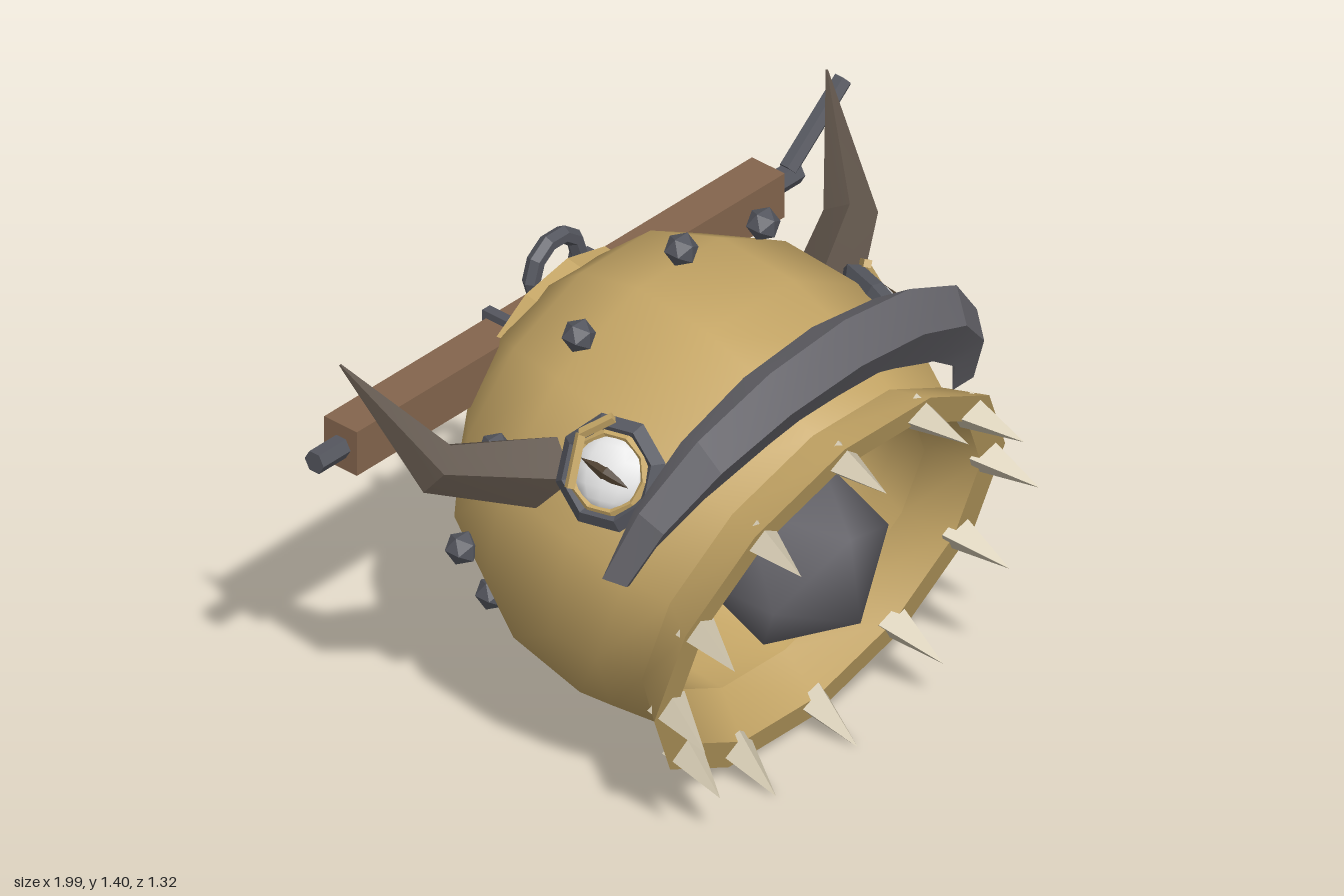
import * as THREE from 'three';
import { mergeVertices, toCreasedNormals } from 'three/addons/utils/BufferGeometryUtils.js';

const V = (x, y, z) => new THREE.Vector3(x, y, z);
const UP = V(0, 1, 0);

const mat = (name, color, side = THREE.FrontSide) => {
  const m = new THREE.MeshStandardMaterial({ color, side });
  m.name = name;
  return m;
};

// polygon ring of n points around a centre, facing dir
function ring(centre, dir, radius, n, offset = 0) {
  const d = dir.clone().normalize();
  const e1 = UP.clone().addScaledVector(d, -d.y).normalize();
  const e2 = e1.clone().cross(d);
  return Array.from({ length: n }, (_, i) => {
    const a = offset + (i / n) * Math.PI * 2;
    return centre.clone().addScaledVector(e1, radius * Math.cos(a)).addScaledVector(e2, radius * Math.sin(a));
  });
}

// skin through a list of rings
function loft(rings, crease) {
  const n = rings[0].length, index = [];
  for (let i = 0; i < rings.length - 1; i++) {
    for (let j = 0; j < n; j++) {
      const k = (j + 1) % n;
      const a = i * n + j, b = i * n + k, c = (i + 1) * n + k, d = (i + 1) * n + j;
      index.push(a, d, c, a, c, b);
    }
  }
  const g = new THREE.BufferGeometry().setFromPoints(rings.flat());
  g.setIndex(index);
  return toCreasedNormals(g, crease);
}

const flat = (g) => toCreasedNormals(g, 0.3);

export function createModel() {
  const gold = mat('gold shell', 0xc4a565);
  const iron = mat('iron', 0x68676d);
  const steel = mat('dark steel', 0x54565e);
  const wood = mat('wood', 0x84654d);
  const hornMat = mat('horn brown', 0x5c5147);
  const bone = mat('bone', 0xcfc5ad);
  const white = mat('eye white', 0xe4e4e4);
  const slit = mat('pupil brown', 0x4a3c2c);

  const root = new THREE.Group();
  root.name = 'hornedShell';
  const body = new THREE.Group();
  body.name = 'body';
  body.position.x = -0.085;
  root.add(body);

  const add = (parent, name, geo, material, pos) => {
    const m = new THREE.Mesh(geo, material);
    m.name = name;
    if (pos) m.position.copy(pos);
    parent.add(m);
    return m;
  };
  // straight rod between two points
  const rod = (parent, name, a, b, r, sides, material) => {
    const d = b.clone().sub(a);
    const m = add(parent, name, flat(new THREE.CylinderGeometry(r, r, d.length(), sides)), material,
      a.clone().add(b).multiplyScalar(0.5));
    m.quaternion.setFromUnitVectors(UP, d.normalize());
    return m;
  };

  // shell: rounded back, narrow neck, flared mouth rim, hollow inside
  const backDir = V(0, -0.174, 0.985), mouthDir = V(0, -0.33, 0.944);
  const backAt = (s) => V(0, 0.71, -0.06).addScaledVector(backDir, s);
  const mouthAt = (s) => V(0, 0.585, 0.35).addScaledVector(mouthDir, s);
  const half = Math.PI / 12;
  const back = [[-0.565, 0.001], [-0.53, 0.34], [-0.4, 0.5], [-0.2, 0.6], [0.04, 0.617]];
  const mouth = [[-0.23, 0.592], [-0.11, 0.55], [0, 0.615], [0, 0.53], [-0.12, 0.45], [-0.22, 0.47],
    [-0.5, 0.49], [-0.75, 0.4], [-0.88, 0.2], [-0.92, 0.001]];
  add(body, 'shell', loft([
    ...back.map(([s, r]) => ring(backAt(s), backDir, r, 12, half)),
    ...mouth.map(([s, r]) => ring(mouthAt(s), mouthDir, r, 12, half)),
  ], 0.75), gold);

  // round plate on the back
  const plate = add(body, 'backPlate', flat(new THREE.CylinderGeometry(0.295, 0.295, 0.06, 12)), gold,
    V(0, 0.868, -0.555));
  plate.quaternion.setFromUnitVectors(UP, backDir);

  // ball inside the mouth
  const ico = new THREE.IcosahedronGeometry(0.255, 0);
  ico.deleteAttribute('normal');
  ico.deleteAttribute('uv');
  const ballGeo = mergeVertices(ico);
  ballGeo.computeVertexNormals();
  add(body, 'mouthBall', ballGeo, iron, V(0, 0.625, 0.22)).rotation.z = 0.14;

  // teeth on the rim corners
  const toothGeo = flat(new THREE.ConeGeometry(0.056, 0.18, 4));
  for (const p of ring(mouthAt(0), mouthDir, 0.555, 12, half)) {
    const dir = p.clone().sub(mouthAt(0)).normalize().multiplyScalar(0.2).add(mouthDir).normalize();
    add(body, 'tooth', toothGeo, bone, p.clone().addScaledVector(dir, 0.065))
      .quaternion.setFromUnitVectors(UP, dir);
  }

  // studs round the back half
  const studGeo = new THREE.IcosahedronGeometry(0.045, 0);
  for (const p of ring(V(0, 0.805, -0.33), V(0, -0.309, 0.951), 0.583, 10)) {
    add(body, 'stud', studGeo, steel, p);
  }

  // brow: four-cornered arch; each corner is [x radius, y, y rise, z, z rise]
  const corners = [[0.68, 0.86, 0.53, 0.2, 0.2], [0.64, 0.86, 0.46, 0.19, 0.1],
    [0.6, 0.81, 0.3, 0.22, 0.13], [0.645, 0.84, 0.44, 0.25, 0.21]];
  const browRings = [];
  for (let i = 0; i <= 8; i++) {
    const a = (i / 8 - 0.5) * Math.PI;
    browRings.push(corners.map(([rx, y, dy, z, dz]) =>
      V(rx * Math.sin(a), y + dy * Math.cos(a), z + dz * Math.cos(a))));
  }
  const middle = (r) => {
    const c = r.reduce((s, p) => s.add(p), V(0, 0, 0)).multiplyScalar(1 / r.length);
    return r.map(() => c.clone());
  };
  browRings.unshift(middle(browRings[0]));
  browRings.push(middle(browRings[browRings.length - 1]));
  add(body, 'brow', loft(browRings, 0.3), iron);

  // horns and eyes, mirrored
  const hornGeo = loft([
    ring(V(0.5, 0.95, -0.13), V(0.85, 0.25, -0.45), 0.1, 5),
    ring(V(0.775, 1.03, -0.28), V(0.65, 0.6, -0.5), 0.072, 5),
    ring(V(0.905, 1.31, -0.48), V(0.4, 0.8, -0.5), 0.003, 5),
  ], 0.3);
  for (const side of [1, -1]) {
    const half = new THREE.Group();
    half.name = side > 0 ? 'leftSide' : 'rightSide';
    half.scale.x = side;
    add(half, 'horn', hornGeo, hornMat);

    const eye = new THREE.Group();
    eye.name = 'eye';
    eye.position.set(0.505, 1.035, 0.07);
    eye.lookAt(V(0.505 + 0.84, 1.035 + 0.48, 0.07 + 0.24));
    const rim = add(eye, 'eyeRim', flat(new THREE.TorusGeometry(0.123, 0.028, 4, 8)), steel);
    rim.rotation.z = Math.PI / 8;
    add(eye, 'eyeInnerRim', flat(new THREE.TorusGeometry(0.1, 0.014, 4, 10)), gold, V(0, 0, 0.012));
    add(eye, 'eyeball', new THREE.SphereGeometry(0.1, 12, 8), white).scale.z = 0.45;
    const pupil = add(eye, 'pupil', new THREE.OctahedronGeometry(1, 0), slit, V(0, 0, 0.04));
    pupil.scale.set(0.075, 0.022, 0.014);
    pupil.rotation.z = 0.3;
    const lid = [V(0.01, 0.14, 0.035), V(0.085, 0.08, 0.04), V(0.085, -0.06, 0.035)];
    for (let i = 0; i < 2; i++) rod(eye, 'eyelid', lid[i], lid[i + 1], 0.014, 4, gold);
    half.add(eye);
    body.add(half);
  }

  // wooden bar with bands, ring, pin and bent handle
  const bar = new THREE.Group();
  bar.name = 'crossbar';
  root.add(bar);
  add(bar, 'beam', new THREE.BoxGeometry(1.59, 0.13, 0.11), wood, V(-0.085, 0.97, -0.577));
  for (const x of [-0.265, 0.098]) {
    add(bar, 'band', new THREE.BoxGeometry(0.028, 0.17, 0.135), steel, V(x, 0.97, -0.577));
  }
  add(bar, 'hangingRing', flat(new THREE.TorusGeometry(0.088, 0.024, 6, 10)), steel, V(-0.085, 1.12, -0.575));
  rod(bar, 'pin', V(-0.98, 0.97, -0.575), V(-0.87, 0.97, -0.575), 0.032, 6, steel);
  rod(bar, 'handleRoot', V(0.7, 0.97, -0.575), V(0.81, 0.97, -0.575), 0.032, 6, steel);
  rod(bar, 'handle', V(0.78, 0.99, -0.575), V(0.985, 1.16, -0.575), 0.026, 6, steel);

  return root;
}
